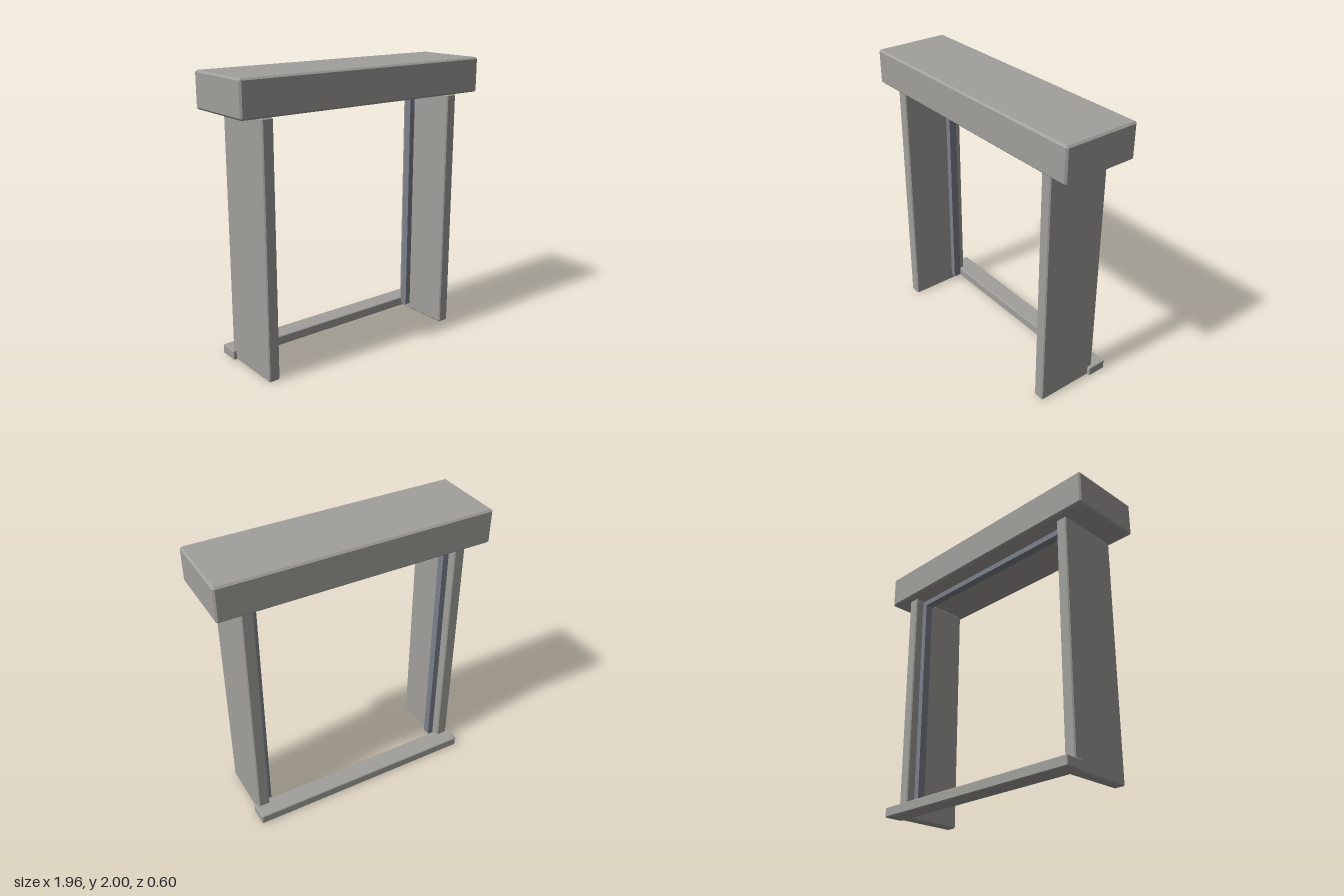
import * as THREE from 'three';
import { ConvexGeometry } from 'three/addons/geometries/ConvexGeometry.js';

// Box between two corners with every edge chamfered by c
function chamferBox([x0, y0, z0], [x1, y1, z1], c) {
  const half = new THREE.Vector3(x1 - x0, y1 - y0, z1 - z0).multiplyScalar(0.5);
  const points = [];
  for (const sx of [-1, 1]) for (const sy of [-1, 1]) for (const sz of [-1, 1]) {
    for (const axis of [0, 1, 2]) {
      const inset = [c, c, c];
      inset[axis] = 0;
      points.push(new THREE.Vector3(
        sx * (half.x - inset[0]), sy * (half.y - inset[1]), sz * (half.z - inset[2])));
    }
  }
  return new ConvexGeometry(points).translate((x0 + x1) / 2, (y0 + y1) / 2, (z0 + z1) / 2);
}

// Plain box between two corners
function box([x0, y0, z0], [x1, y1, z1]) {
  return new THREE.BoxGeometry(x1 - x0, y1 - y0, z1 - z0)
    .translate((x0 + x1) / 2, (y0 + y1) / 2, (z0 + z1) / 2);
}

export function createModel() {
  const model = new THREE.Group();
  model.name = 'doorway';

  const stone = new THREE.MeshStandardMaterial({ color: 0xa09f9b });
  stone.name = 'grey stone';
  const metal = new THREE.MeshStandardMaterial({ color: 0x7b808a });
  metal.name = 'blue grey frame';

  const add = (name, geometry, material) => {
    const mesh = new THREE.Mesh(geometry, material);
    mesh.name = name;
    model.add(mesh);
  };

  // Heavy block across the top and threshold at the back
  add('lintel', chamferBox([-0.98, 1.755, -0.243], [0.98, 2, 0.302], 0.012), stone);
  add('threshold', chamferBox([-0.835, 0, -0.302], [0.835, 0.07, -0.16], 0.006), stone);

  // Side slabs with the slim frame posts against their inner faces
  for (const [side, s] of [['left', 1], ['right', -1]]) {
    const span = (a, b) => (s > 0 ? [a, b] : [-b, -a]);
    const [j0, j1] = span(0.73, 0.812);
    add(`${side}Jamb`, chamferBox([j0, 0, -0.2], [j1, 1.747, 0.26], 0.008), stone);
    const [p0, p1] = span(0.688, 0.73);
    add(`${side}FramePost`, box([p0, 0.042, -0.135], [p1, 1.692, -0.078]), metal);
  }

  // Frame rail joining the posts
  add('frameRail', box([-0.73, 1.692, -0.135], [0.73, 1.732, -0.078]), metal);

  return model;
}
